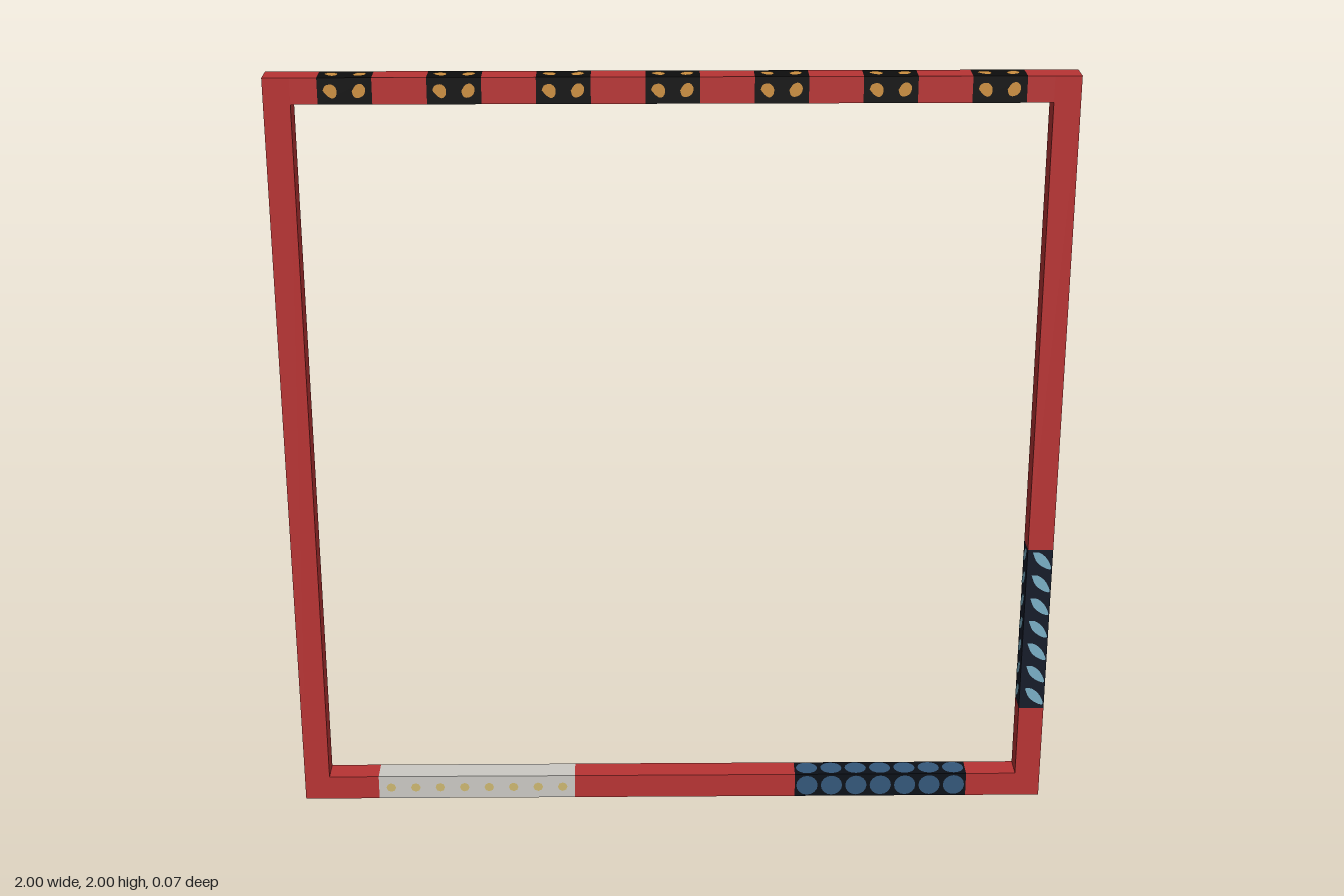
import * as THREE from 'three';

const U = 2 / 30; // bar thickness, also the length of one cell

function mat(name, color) {
  const m = new THREE.MeshStandardMaterial({ color });
  m.name = name;
  return m;
}

// Smooth closed shape through a few points given in cell units (-0.5 to 0.5)
function blob(points, flip = 1) {
  const shape = new THREE.Shape();
  const pts = points.map(([x, y]) => new THREE.Vector2(x * U * flip, y * U));
  shape.moveTo(pts[0].x, pts[0].y);
  shape.splineThru([...pts.slice(1), pts[0]]);
  return new THREE.ShapeGeometry(shape, 4);
}

export function createModel() {
  const model = new THREE.Group();
  model.name = 'squareFrame';
  const red = mat('red', 0xb83434);
  const black = mat('black', 0x0d0d0d);
  const gold = mat('gold', 0xcc8f40);
  const white = mat('off white', 0xcbc9c4);
  const paleGold = mat('pale gold', 0xccb770);
  const darkNavy = mat('dark navy', 0x0c1018);
  const blue = mat('steel blue', 0x34587a);
  const slate = mat('dark slate', 0x151b29);
  const ice = mat('ice blue', 0x7ab0c6);

  // One straight length of bar, in cells counted from the lower left corner
  function bar(name, material, x, y, w, h) {
    const mesh = new THREE.Mesh(new THREE.BoxGeometry(w * U, h * U, U), material);
    mesh.position.set((x + w / 2) * U - 1, (y + h / 2) * U, 0);
    mesh.name = name;
    model.add(mesh);
  }

  // A flat mark on one long side of a cell; side counts quarter turns about the bar
  function mark(name, geometry, material, x, y, axis, side) {
    const pivot = new THREE.Group();
    pivot.name = name;
    pivot.position.set((x + 0.5) * U - 1, (y + 0.5) * U, 0);
    pivot.rotation[axis] = side * Math.PI / 2;
    const mesh = new THREE.Mesh(geometry, material);
    mesh.name = name;
    mesh.position.z = U / 2 + 0.0012;
    pivot.add(mesh);
    model.add(pivot);
  }

  // Uprights
  bar('rightUpright', red, 0, 0, 1, 30);
  bar('leftUprightLower', red, 29, 0, 1, 4);
  bar('leafPanel', slate, 29, 4, 1, 7);
  bar('leftUprightUpper', red, 29, 11, 1, 19);

  // Bottom rail
  bar('bottomRailEnd', red, 1, 0, 2, 1);
  bar('whitePanel', white, 3, 0, 8, 1);
  bar('bottomRailMiddle', red, 11, 0, 9, 1);
  bar('discPanel', darkNavy, 20, 0, 7, 1);
  bar('bottomRailEnd', red, 27, 0, 2, 1);

  // Top rail: seven black blocks between red ones
  bar('topRailEnd', red, 1, 29, 1, 1);
  for (let i = 0; i < 7; i++) {
    bar('blackBlock', black, 2 + i * 4, 29, 2, 1);
    bar('topRailRed', red, 4 + i * 4, 29, i < 6 ? 2 : 1, 1);
  }

  // Gold spots, two on each side of every black block
  const spotA = blob([[-0.29, 0.02], [-0.2, 0.2], [0.03, 0.25], [0.2, 0.1], [0.2, -0.15], [0.06, -0.27], [-0.12, -0.18]]);
  const spotB = blob([[-0.23, 0], [-0.08, 0.22], [0.12, 0.27], [0.26, 0.1], [0.2, -0.14], [0, -0.25], [-0.16, -0.2]]);
  for (let i = 0; i < 7; i++) {
    for (let side = 0; side < 4; side++) {
      mark('goldSpot', spotA, gold, 2 + i * 4, 29, 'x', side);
      mark('goldSpot', spotB, gold, 3 + i * 4, 29, 'x', side);
    }
  }

  // Small dots on the front and back of the white panel
  const dot = new THREE.CircleGeometry(0.013, 8);
  for (let i = 0; i < 8; i++) {
    for (const side of [0, 2]) mark('smallDot', dot, paleGold, 3 + i, 0, 'x', side);
  }

  // Blue discs and slanted leaves; leaves mirror at each edge to form chevrons
  const disc = new THREE.CircleGeometry(0.029, 16);
  const leafPoints = [[-0.3, 0.4], [-0.02, 0.38], [0.28, 0.12], [0.46, -0.3], [0.22, -0.28], [-0.12, -0.02]];
  const leaves = [blob(leafPoints), blob(leafPoints, -1)];
  for (let i = 0; i < 7; i++) {
    for (let side = 0; side < 4; side++) {
      mark('blueDisc', disc, blue, 20 + i, 0, 'x', side);
      mark('leaf', leaves[side % 2], ice, 29, 4 + i, 'y', side);
    }
  }
  return model;
}
